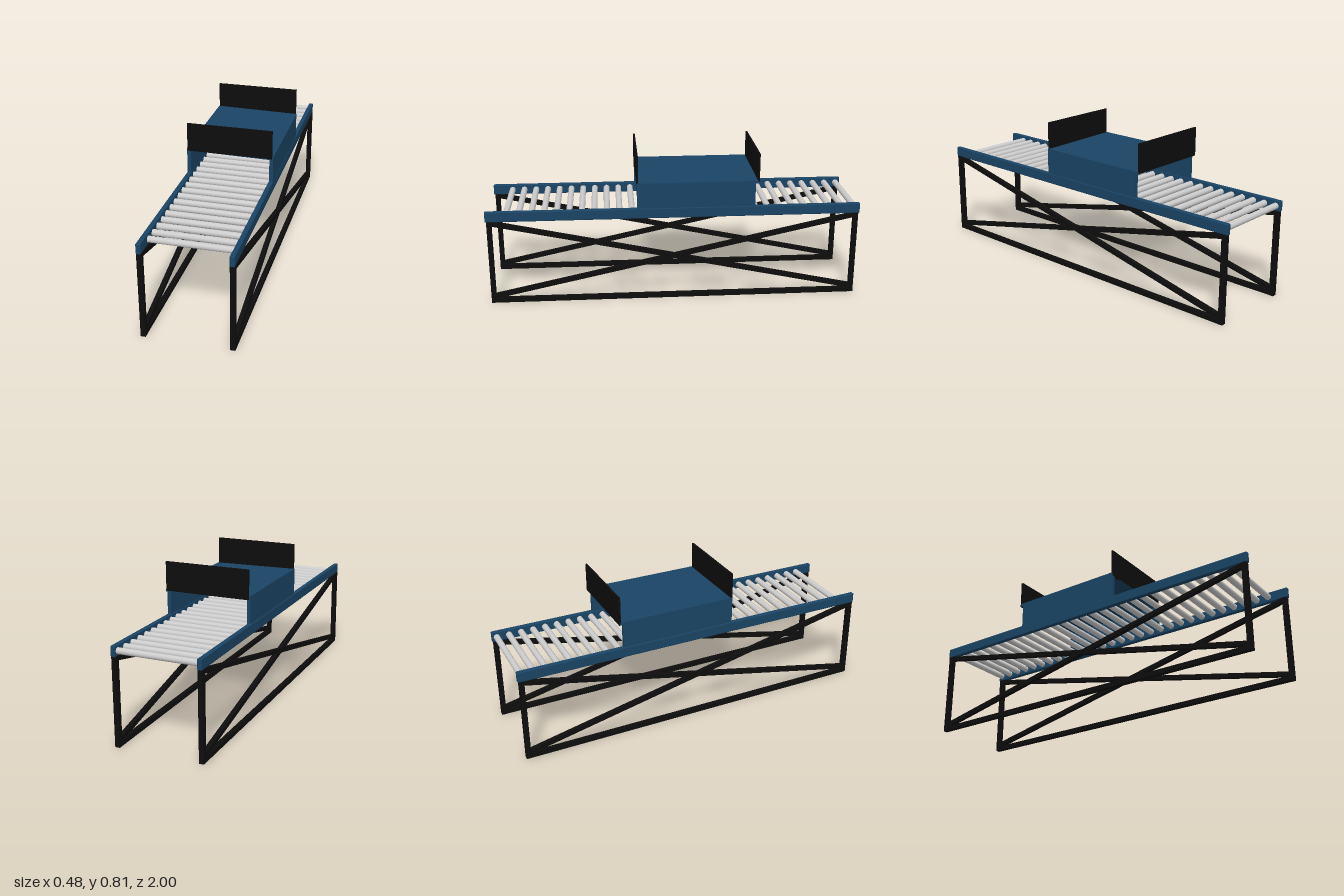
import * as THREE from 'three';
import { RoundedBoxGeometry } from 'three/addons/geometries/RoundedBoxGeometry.js';

const blue = new THREE.MeshStandardMaterial({ color: 0x1a4464 });
const black = new THREE.MeshStandardMaterial({ color: 0x0d0d0d });
const grey = new THREE.MeshStandardMaterial({ color: 0xcccccc });

function add(parent, name, geometry, material, x, y, z) {
  const mesh = new THREE.Mesh(geometry, material);
  mesh.name = name;
  mesh.position.set(x, y, z);
  parent.add(mesh);
  return mesh;
}
const box = (w, h, d) => new THREE.BoxGeometry(w, h, d);

// One side of the stand: rail, legs, floor bar and crossed braces
function createSide(sign) {
  const side = new THREE.Group();
  side.name = sign > 0 ? 'leftSide' : 'rightSide';
  const x = sign * 0.2255;
  add(side, 'rail', new RoundedBoxGeometry(0.025, 0.056, 2, 3, 0.005), blue, x, 0.492, 0);
  add(side, 'floorBar', box(0.025, 0.025, 1.94), black, x, 0.0125, 0);
  for (const end of [-1, 1]) {
    add(side, end > 0 ? 'frontLeg' : 'backLeg', box(0.026, 0.466, 0.025), black, x, 0.233, end * 0.98);
    const rise = 0.42, run = 1.95;
    const brace = add(side, 'crossBrace', box(0.024, 0.024, Math.hypot(rise, run)), black, x, 0.245, 0);
    brace.rotation.x = end * Math.atan2(rise, run);
  }
  return side;
}

// Rollers across the bed
function createRollers() {
  const rollers = new THREE.Group();
  rollers.name = 'rollers';
  const geometry = new THREE.CylinderGeometry(0.0165, 0.0165, 0.43, 24);
  geometry.rotateZ(Math.PI / 2);
  for (let i = 0; i < 29; i++) {
    add(rollers, 'roller', geometry, grey, 0, 0.492, -0.975 + i * 0.0667);
  }
  return rollers;
}

// Open tunnel over the bed with an upright plate at each end
function createTunnel() {
  const tunnel = new THREE.Group();
  tunnel.name = 'tunnel';
  add(tunnel, 'leftWall', box(0.02, 0.138, 0.63), blue, 0.226, 0.589, -0.115);
  add(tunnel, 'rightWall', box(0.02, 0.144, 0.63), blue, -0.223, 0.592, -0.115);
  const roof = add(tunnel, 'roof', box(0.468, 0.015, 0.645), blue, 0.001, 0.655, -0.122);
  roof.rotation.z = -0.015;
  add(tunnel, 'frontPlate', box(0.46, 0.155, 0.01), black, 0, 0.7275, 0.197);
  add(tunnel, 'backPlate', box(0.46, 0.155, 0.01), black, 0, 0.7275, -0.446);
  return tunnel;
}

export function createModel() {
  const model = new THREE.Group();
  model.name = 'rollerConveyor';
  model.add(createSide(1), createSide(-1), createRollers(), createTunnel());
  return model;
}
